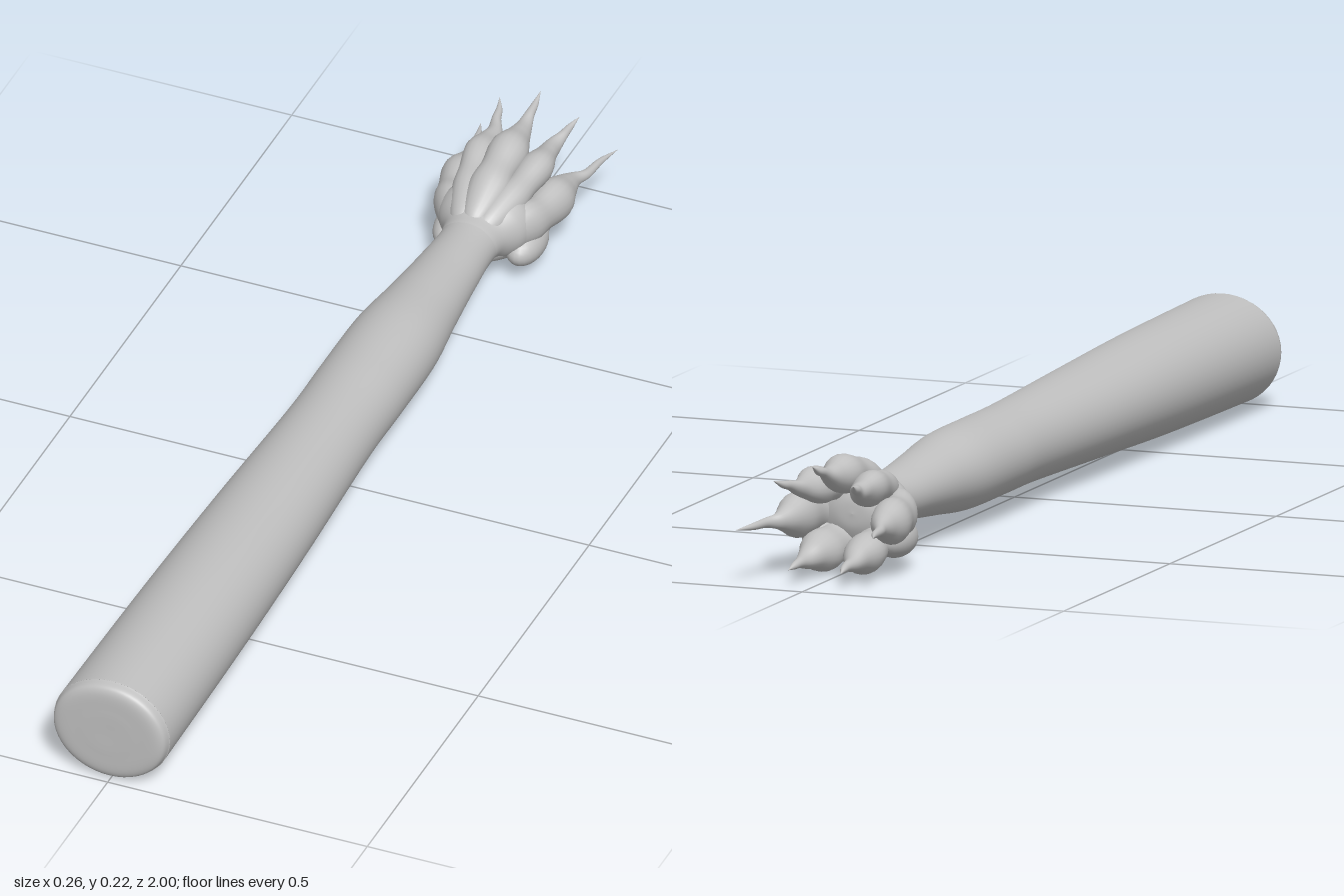
import * as THREE from 'three';

const skin = new THREE.MeshStandardMaterial({ color: 0xbfbfbf });
skin.name = 'pale grey';

// Smooth loft along -z. Each section: [z, distance from axis, radial radius, tangential radius]
function loft(name, sections, angle, sides, steps) {
  const path = new THREE.CatmullRomCurve3(sections.map(s => new THREE.Vector3(s[0], s[1], 0)), false, 'catmullrom', 0.5);
  const size = new THREE.CatmullRomCurve3(sections.map(s => new THREE.Vector3(s[2], s[3], 0)), false, 'catmullrom', 0.5);
  const ca = Math.cos(angle), sa = Math.sin(angle);
  const pos = [], index = [];
  for (let i = 0; i <= steps; i++) {
    const p = path.getPoint(i / steps), r = size.getPoint(i / steps);
    for (let j = 0; j < sides; j++) {
      const t = j / sides * Math.PI * 2;
      const u = p.y + Math.max(0, r.x) * Math.cos(t);
      const v = Math.max(0, r.y) * Math.sin(t);
      pos.push(u * ca - v * sa, u * sa + v * ca, p.x);
      if (i < steps) {
        const k = (j + 1) % sides;
        const a = i * sides + j, b = i * sides + k;
        index.push(a, a + sides, b, b, a + sides, b + sides);
      }
    }
  }
  const geo = new THREE.BufferGeometry();
  geo.setAttribute('position', new THREE.Float32BufferAttribute(pos, 3));
  geo.setIndex(index);
  geo.computeVertexNormals();
  const mesh = new THREE.Mesh(geo, skin);
  mesh.name = name;
  return mesh;
}

// Tapered finger ending in a thin claw
function finger(name, degrees, outer, width, tipZ, tipR) {
  const a = THREE.MathUtils.degToRad(degrees);
  const base = outer - 0.036;
  return loft(name, [
    [-0.635, 0.03, 0, 0],
    [-0.66, 0.038, 0.02, 0.022],
    [-0.72, base - 0.024, 0.036, width],
    [-0.765, base - 0.008, 0.031, width * 0.85],
    [-0.815, base, 0.036, width * 0.95],
    [-0.855, base + 0.002, 0.025, width * 0.62],
    [-0.885, base + 0.008, 0.014, 0.015],
    [-0.91, (base + tipR) / 2, 0.009, 0.009],
    [(tipZ - 0.91) / 2, (base + 2 * tipR) / 3, 0.006, 0.006],
    [tipZ, tipR, 0, 0],
  ], a, 20, 54);
}

export function createModel() {
  const model = new THREE.Group();
  model.name = 'clawedLimb';

  // Long limb, closed with a softly rounded flat end
  const limb = loft('limb', [
    [0.995, 0, 0, 0],
    [0.995, 0, 0.055, 0.047],
    [0.992, 0, 0.098, 0.087],
    [0.975, 0, 0.110, 0.099],
    [0.93, 0, 0.111, 0.100],
    [0.6, 0, 0.106, 0.095],
    [0.3, 0, 0.098, 0.085],
    [0.0, 0, 0.085, 0.076],
    [-0.15, 0, 0.085, 0.075],
    [-0.3, 0, 0.083, 0.074],
    [-0.42, 0, 0.070, 0.062],
    [-0.54, 0, 0.059, 0.050],
    [-0.64, 0, 0.054, 0.046],
    [-0.69, 0, 0.076, 0.062],
  ], 0, 48, 130);
  limb.position.set(-0.003, 0.102, 0);
  model.add(limb);

  const hand = new THREE.Group();
  hand.name = 'hand';
  hand.position.set(-0.003, 0.103, 0);
  model.add(hand);

  // Palm between the finger roots
  hand.add(loft('palm', [
    [-0.63, 0, 0.053, 0.045],
    [-0.66, 0, 0.060, 0.050],
    [-0.69, 0, 0.082, 0.066],
    [-0.72, 0, 0.088, 0.074],
    [-0.75, 0, 0.072, 0.062],
    [-0.768, 0, 0.035, 0.03],
    [-0.772, 0, 0, 0],
  ], 0, 40, 40));

  // Ring of seven fingers: angle, outer reach, half width, tip z, tip reach
  hand.add(finger('topFinger', 90, 0.116, 0.038, -0.96, 0.117));
  hand.add(finger('leftUpperFinger', 48, 0.112, 0.032, -0.955, 0.115));
  hand.add(finger('rightUpperFinger', 132, 0.112, 0.032, -0.955, 0.115));
  hand.add(finger('leftSideFinger', 0, 0.123, 0.044, -1.0, 0.132));
  hand.add(finger('rightSideFinger', 180, 0.128, 0.044, -0.98, 0.124));
  hand.add(finger('leftLowerFinger', -56, 0.110, 0.042, -0.95, 0.09));
  hand.add(finger('rightLowerFinger', 236, 0.110, 0.042, -0.95, 0.09));

  // Rounded pads on the lower sides of the hand
  for (const side of [1, -1]) {
    const pad = new THREE.Mesh(new THREE.SphereGeometry(1, 24, 16), skin);
    pad.name = side > 0 ? 'leftPad' : 'rightPad';
    pad.scale.set(0.034, 0.034, 0.06);
    pad.position.set(side * 0.07, -0.045, -0.735);
    hand.add(pad);
  }
  return model;
}
